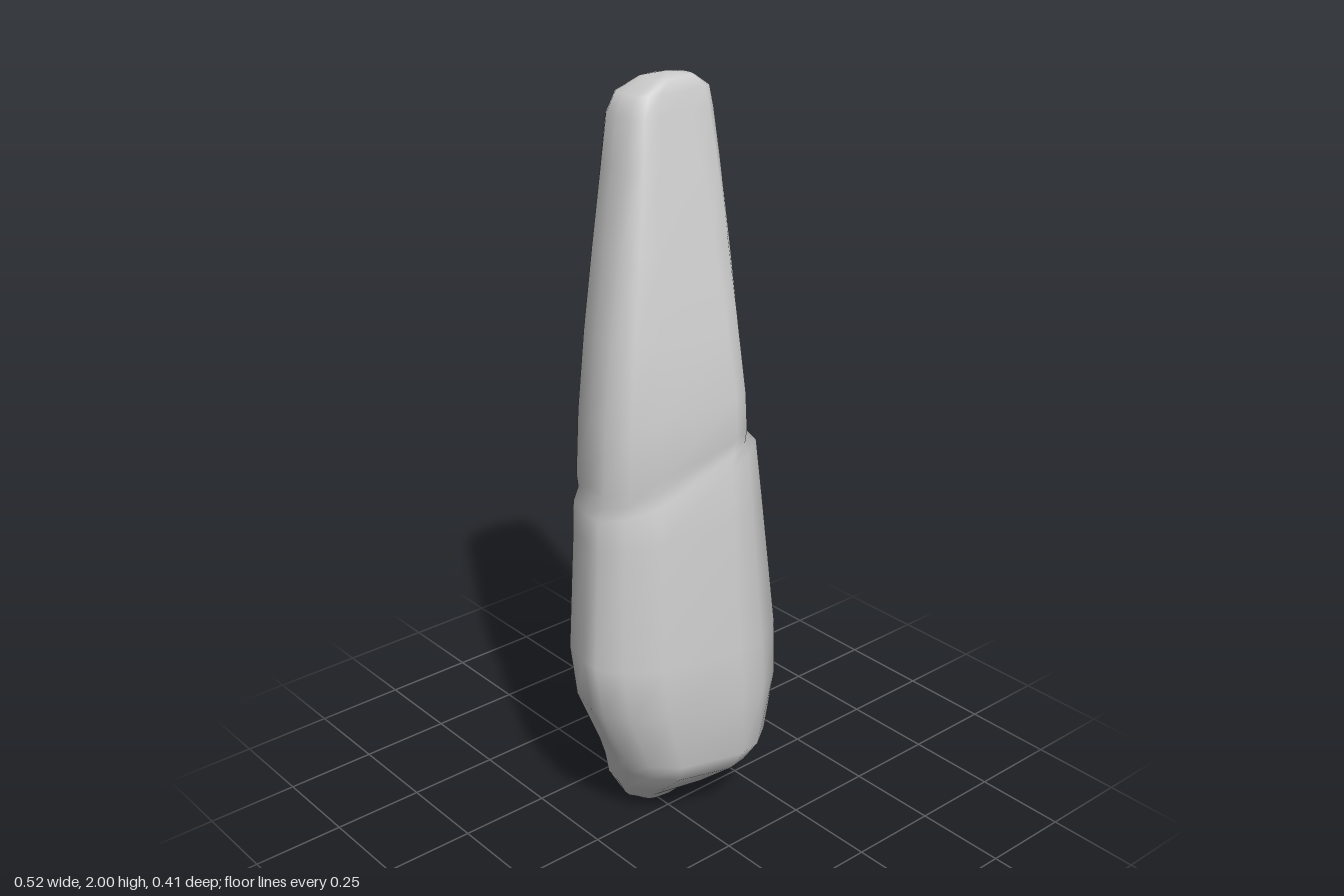
import * as THREE from 'three';

// Cross-section outlines in a unit box (u, v), from left round the back, right and front
const lower = [[-1, .14], [-1, -.1], [-.92, -.52], [-.78, -.67], [.19, -1], [.72, -.67], [.94, -.14],
  [.98, .4], [.96, .72], [.62, .95], [.3, 1], [-.53, .75], [-.85, .45]];
const middle = [[-1, .3], [-.97, -.1], [-.9, -.5], [-.75, -.65], [.22, -1], [.86, -.65], [1, -.1],
  [.92, .3], [.75, .8], [.66, .95], [.48, 1], [-.5, .75], [-.82, .6]];
const upper = [[-1, .6], [-1, -.1], [-1, -.6], [-.9, -.85], [-.1, -1], [.9, -.5], [1, -.1],
  [1, .4], [.9, .8], [.7, 1], [.3, 1], [-.5, 1], [-.8, .9]];

// Levels: y, x min, x max, z min, z max, outline blend (0 lower, 1 middle, 2 upper), tilt
const levels = [
  [0, -.03, .07, -.09, -.04, 0, 0],
  [.04, -.09, .11, -.14, 0, 0, 0],
  [.09, -.115, .15, -.195, .07, 0, 0],
  [.17, -.145, .2, -.2, .165, 0, 0],
  [.23, -.17, .23, -.202, .2, 0, 0],
  [.4, -.245, .26, -.207, .206, 0, 0],
  [.55, -.265, .26, -.207, .2, 0, 0],
  [.9, -.238, .24, -.207, .163, .2, .1],
  [1.02, -.233, .232, -.207, .148, .35, .3],
  [1.05, -.217, .222, -.205, .134, .8, .3],
  [1.09, -.225, .222, -.205, .141, 1, .3],
  [1.22, -.215, .216, -.203, .137, 1, .1],
  [1.4, -.18, .211, -.2, .1, 1.15, 0],
  [1.6, -.135, .207, -.195, .05, 1.4, 0],
  [1.8, -.087, .203, -.19, -.005, 1.75, 0],
  [1.91, -.062, .2, -.185, -.037, 2, 0],
  [1.96, -.035, .196, -.178, -.052, 2, 0],
  [1.99, .03, .15, -.155, -.065, 2, 0],
];

// Lofts the levels into one smooth closed skin
function loft() {
  const n = lower.length, pos = [], idx = [];
  for (const [y, x0, x1, z0, z1, k, tilt] of levels) {
    const [a, b, t] = k < 1 ? [lower, middle, k] : [middle, upper, k - 1];
    for (let j = 0; j < n; j++) {
      const u = THREE.MathUtils.lerp(a[j][0], b[j][0], t);
      const v = THREE.MathUtils.lerp(a[j][1], b[j][1], t);
      const x = THREE.MathUtils.lerp(x0, x1, (u + 1) / 2);
      pos.push(x, y + tilt * x, THREE.MathUtils.lerp(z0, z1, (v + 1) / 2));
    }
  }
  const last = levels.length - 1;
  for (let i = 0; i < last; i++) {
    for (let j = 0; j < n; j++) {
      const a = i * n + j, b = i * n + (j + 1) % n;
      idx.push(a, a + n, b, b, a + n, b + n);
    }
  }
  // Rounded end caps
  const foot = pos.length / 3, tip = foot + 1;
  pos.push(.02, 0, -.065, .09, 2, -.11);
  for (let j = 0; j < n; j++) {
    const k = (j + 1) % n;
    idx.push(foot, j, k, tip, last * n + k, last * n + j);
  }
  const geometry = new THREE.BufferGeometry();
  geometry.setAttribute('position', new THREE.Float32BufferAttribute(pos, 3));
  geometry.setIndex(idx);
  geometry.computeVertexNormals();
  return geometry;
}

export function createModel() {
  const group = new THREE.Group();
  group.name = 'standingStone';
  const stone = new THREE.Mesh(loft(), new THREE.MeshStandardMaterial({ color: 0xcccccc }));
  stone.name = 'stoneBody';
  group.add(stone);
  return group;
}
